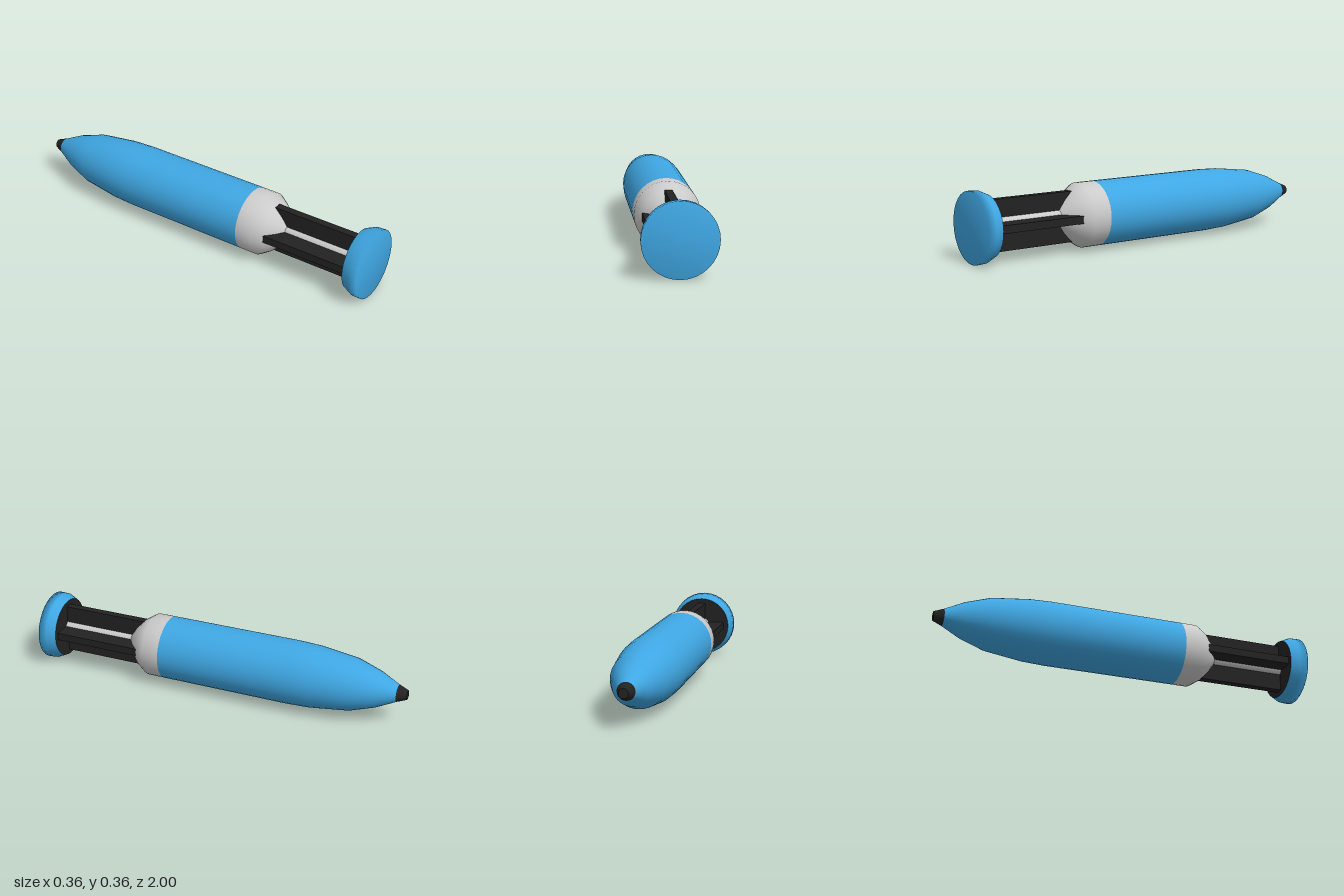
import * as THREE from 'three';

const AXIS_Y = 0.18;

function material(color) {
  return new THREE.MeshStandardMaterial({ color });
}

// Turned part along z; profile is [radius, z] with z rising
function turned(name, profile, mat) {
  const points = profile.map(([r, z]) => new THREE.Vector2(r, z));
  const geometry = new THREE.LatheGeometry(points, 32).rotateX(Math.PI / 2);
  const mesh = new THREE.Mesh(geometry, mat);
  mesh.name = name;
  return mesh;
}

export function createModel() {
  const model = new THREE.Group();
  const blue = material(0x3fa7e3);
  const black = material(0x222222);
  const grey = material(0xcccccc);

  const assembly = new THREE.Group();
  assembly.name = 'projectile';
  assembly.position.y = AXIS_Y;
  model.add(assembly);

  // Blunt nose tip
  assembly.add(turned('noseTip', [[0, -1], [0.024, -1], [0.024, -1], [0.044, -0.95]], black));

  // Tapered body
  assembly.add(turned('body', [
    [0.044, -0.95], [0.093, -0.85], [0.136, -0.72], [0.161, -0.52],
    [0.166, -0.4], [0.166, 0], [0.166, 0.3],
  ], blue));

  // Grey collar narrowing to the tail rod
  assembly.add(turned('collar', [
    [0.166, 0.3], [0.166, 0.39], [0.13, 0.445], [0.085, 0.487], [0.045, 0.515],
  ], grey));
  assembly.add(turned('tailRod', [[0.045, 0.5], [0.045, 0.915]], grey));

  // Four fins in a cross
  const fins = new THREE.Group();
  fins.name = 'fins';
  for (let i = 0; i < 4; i++) {
    const fin = new THREE.Mesh(new THREE.BoxGeometry(0.13, 0.04, 0.475), black);
    fin.geometry.translate(0.065, 0, 0.6775);
    fin.rotation.z = i * Math.PI / 2;
    fin.name = 'fin' + (i + 1);
    fins.add(fin);
  }
  assembly.add(fins);

  // End cap with a bevelled rim and dark underside
  assembly.add(turned('endCap', [[0.157, 0.91], [0.178, 0.955], [0.18, 1], [0, 1]], blue));
  assembly.add(turned('endCapUnderside', [[0, 0.91], [0.157, 0.91]], black));

  return model;
}
